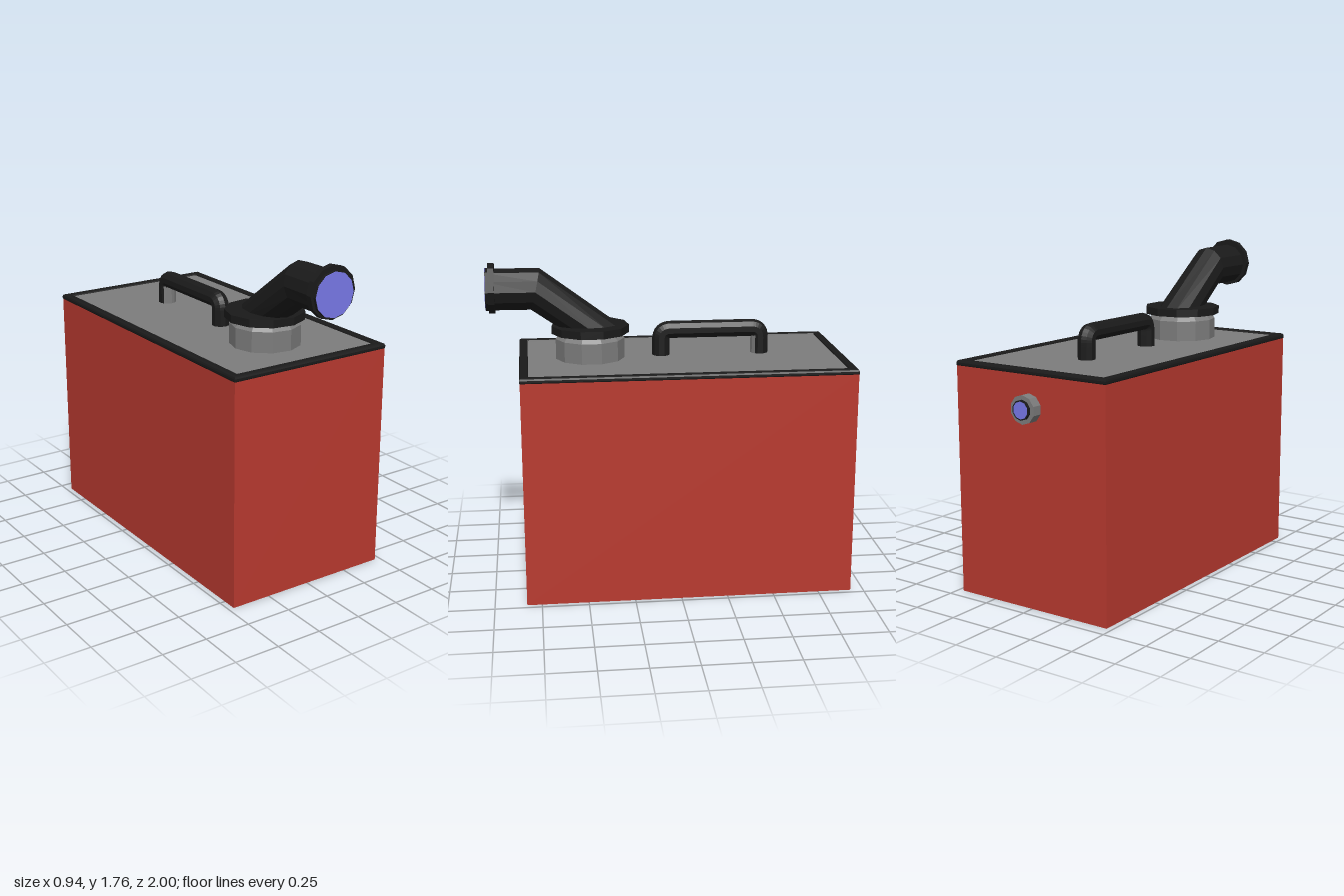
import * as THREE from 'three';

const mat = (color) => new THREE.MeshStandardMaterial({ color, flatShading: true, side: THREE.DoubleSide });
const red = mat(0xb8392f), black = mat(0x1a1a1a), grey = mat(0x7c7c7c), blue = mat(0x7878e8);

export function createModel() {
  const model = new THREE.Group();
  const add = (name, geometry, material, x = 0, y = 0, z = 0, parent = model) => {
    const mesh = new THREE.Mesh(geometry, material);
    mesh.name = name;
    mesh.position.set(x, y, z);
    parent.add(mesh);
    return mesh;
  };
  // Short cylinder lying along z
  const disc = (name, r, z0, z1, material, x, y, sides = 12) => add(name,
    new THREE.CylinderGeometry(r, r, z1 - z0, sides).rotateX(Math.PI / 2), material, x, y, (z0 + z1) / 2);

  // Case and lid
  add('body', new THREE.BoxGeometry(0.94, 1.22, 1.76), red, 0, 0.61, -0.05);
  add('lid', new THREE.BoxGeometry(0.88, 0.02, 1.7), grey, 0, 1.225, -0.05);

  // Bevelled rim frame round the lid
  const bevel = 0.012;
  const rect = (Path, w, d) => {
    const p = new Path();
    p.moveTo(-w, -d);
    p.lineTo(w, -d);
    p.lineTo(w, d);
    p.lineTo(-w, d);
    p.closePath();
    return p;
  };
  const frame = rect(THREE.Shape, 0.472 - bevel, 0.882 - bevel);
  frame.holes.push(rect(THREE.Path, 0.425 + bevel, 0.835 + bevel));
  add('rim', new THREE.ExtrudeGeometry(frame, {
    depth: 0.011, bevelEnabled: true, bevelThickness: bevel, bevelSize: bevel, bevelSegments: 2,
  }).rotateX(-Math.PI / 2), black, 0, 1.222, -0.05);

  // Filler collar and flange
  const profile = [[0, 1.23], [0.188, 1.23], [0.188, 1.345], [0.16, 1.378], [0, 1.378]]
    .map(([r, y]) => new THREE.Vector2(r, y));
  add('collar', new THREE.LatheGeometry(profile, 11, -Math.PI / 2), grey, -0.013, 0, 0.447);
  add('flange', new THREE.CylinderGeometry(0.211, 0.211, 0.042, 11, 1, false, -Math.PI / 2),
    black, -0.015, 1.395, 0.445);

  // Bent spout: rings given as [z, y, radius, ring lean in z, ring height in y]
  const rings = [
    [0.425, 1.39, 0.112, -0.15, 0.015],
    [0.735, 1.615, 0.105, -0.025, 0.112],
    [0.995, 1.617, 0.113, 0, 0.113],
  ];
  const sides = 12, pos = [], index = [];
  rings.forEach(([z, y, r, lean, height], k) => {
    for (let i = 0; i < sides; i++) {
      const a = (i / sides) * Math.PI * 2;
      pos.push(r * Math.cos(a), y + height * Math.sin(a), z + lean * Math.sin(a));
      if (k === 0) continue;
      const j = (i + 1) % sides, b = k * sides, p = b - sides;
      index.push(p + i, p + j, b + j, p + i, b + j, b + i);
    }
  });
  const spout = new THREE.BufferGeometry();
  spout.setAttribute('position', new THREE.Float32BufferAttribute(pos, 3));
  spout.setIndex(index);
  spout.computeVertexNormals();
  add('spout', spout, black, -0.012);
  disc('spoutRing', 0.136, 0.95, 0.982, black, -0.01, 1.624);
  disc('spoutOpening', 0.116, 0.98, 0.998, black, -0.012, 1.617);
  disc('spoutFace', 0.115, 0.99, 1, blue, -0.012, 1.617);

  // Carrying handle
  const v = (y, z) => new THREE.Vector3(0, y, z);
  const path = new THREE.CurvePath();
  const top = 1.373, front = 0.058, back = -0.488, c = 0.05;
  path.add(new THREE.LineCurve3(v(1.225, front), v(top - c, front)));
  path.add(new THREE.QuadraticBezierCurve3(v(top - c, front), v(top, front), v(top, front - c)));
  path.add(new THREE.LineCurve3(v(top, front - c), v(top, back + c)));
  path.add(new THREE.QuadraticBezierCurve3(v(top, back + c), v(top, back), v(top - c, back)));
  path.add(new THREE.LineCurve3(v(top - c, back), v(1.225, back)));
  add('handle', new THREE.TubeGeometry(path, 80, 0.048, 10), black, -0.028);
  // Grey inset on the inner side of the rear handle leg
  add('handleInset', new THREE.CylinderGeometry(0.0495, 0.0495, 0.1, 4, 1, true, -0.95, 1.9),
    grey, -0.028, 1.285, back);

  // Outlet on the back
  disc('outlet', 0.075, -0.985, -0.92, grey, -0.004, 1.05, 10);
  disc('outletPlug', 0.052, -0.998, -0.98, black, -0.004, 1.05, 10);
  disc('outletFace', 0.045, -1, -0.99, blue, -0.004, 1.05, 10);

  return model;
}
